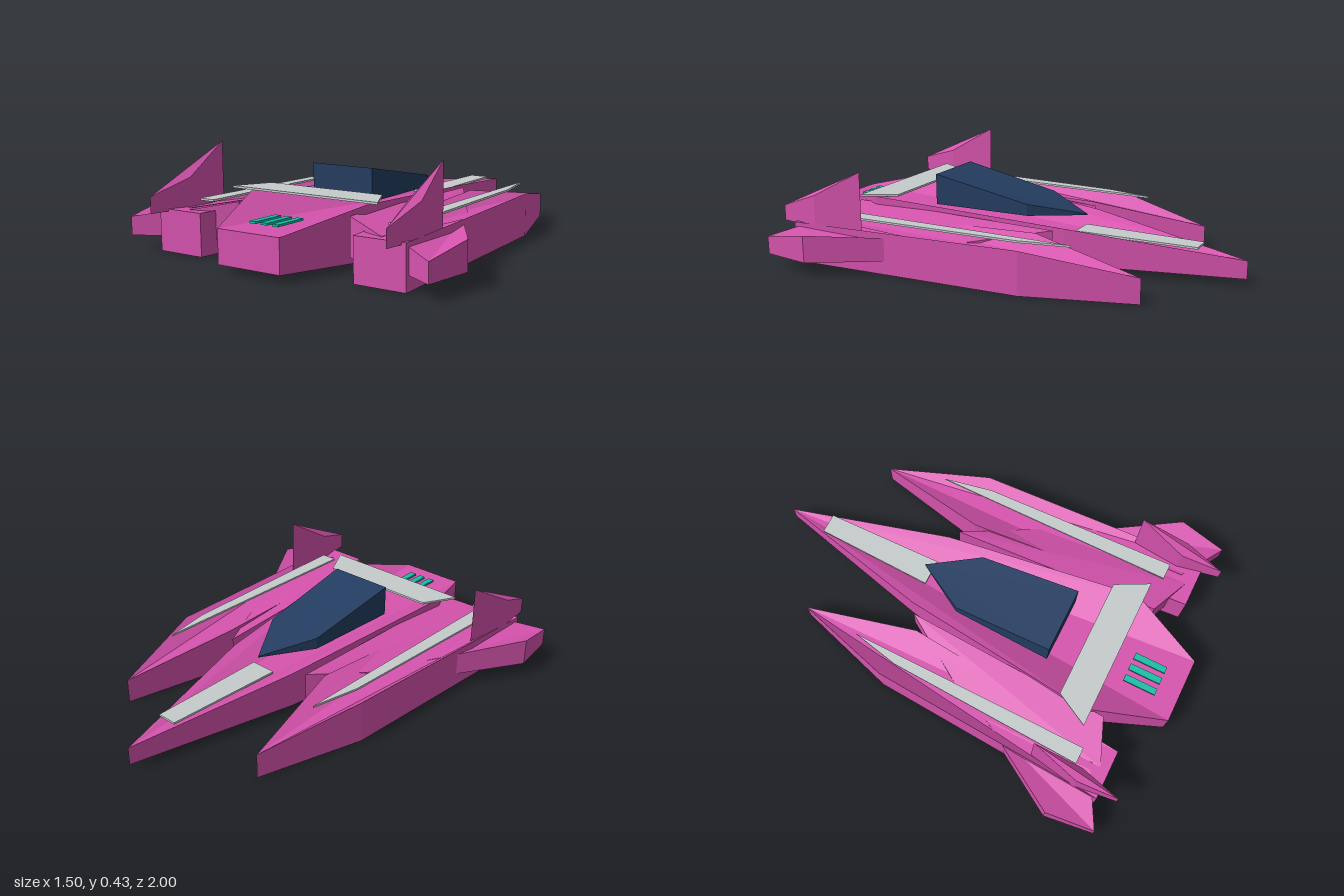
import * as THREE from 'three';

const material = (name, color) => {
  const m = new THREE.MeshStandardMaterial({ color });
  m.name = name;
  return m;
};

// Faceted slab: outline points are [x, z, topY]; the top fans out from the first point,
// the bottom is flat. Group 0 = top and walls, group 1 = underside.
function slabGeometry(points, bottom) {
  const area = points.reduce((sum, p, i) => {
    const q = points[(i + 1) % points.length];
    return sum + p[1] * q[0] - p[0] * q[1];
  }, 0);
  const ring = area > 0 ? points : [points[0], ...points.slice(1).reverse()];
  const top = ring.map(([x, z, y]) => [x, y, z]);
  const base = ring.map(([x, z]) => [x, bottom, z]);
  const n = ring.length;
  const verts = [];
  const tri = (a, b, c) => verts.push(...a, ...b, ...c);

  for (let i = 1; i < n - 1; i++) tri(top[0], top[i], top[i + 1]);
  for (let i = 0; i < n; i++) {
    const j = (i + 1) % n;
    tri(base[i], base[j], top[j]);
    tri(base[i], top[j], top[i]);
  }
  const split = verts.length / 3;
  for (let i = 1; i < n - 1; i++) tri(base[0], base[i + 1], base[i]);

  const geo = new THREE.BufferGeometry();
  geo.setAttribute('position', new THREE.Float32BufferAttribute(verts, 3));
  geo.addGroup(0, split, 0);
  geo.addGroup(split, verts.length / 3 - split, 1);
  geo.computeVertexNormals();
  return geo;
}

export function createModel() {
  const pink = material('pink hull', 0xd653ae);
  const navy = material('navy', 0x243d61);
  const grey = material('light grey trim', 0xc6cccc);
  const teal = material('teal vents', 0x14bfa6);

  const model = new THREE.Group();
  model.name = 'spacecraft';

  const slab = (name, points, bottom, upper, under = upper) => {
    const mesh = new THREE.Mesh(slabGeometry(points, bottom), [upper, under]);
    mesh.name = name;
    model.add(mesh);
  };
  const flat = (points, y) => points.map(([x, z]) => [x, z, y]);
  // Full outline from a nose point and the points down one side
  const symmetric = (nose, side) =>
    [nose, ...side, ...side.map(([x, z, y]) => [-x, z, y]).reverse()];

  // Central hull and canopy
  slab('mainHull', symmetric([0, -1, 0.11],
    [[0.18, -0.25, 0.19], [0.29, 0.65, 0.25], [0.15, 1, 0.17]]), 0.03, pink, navy);
  slab('canopy', symmetric([0, -0.28, 0.215],
    [[0.135, -0.05, 0.262], [0.15, 0.41, 0.35]]), 0.21, navy);

  // Trim plates on the nose and across the stern
  slab('nosePlate', flat([[-0.045, -0.8], [0.045, -0.8], [0.06, -0.25], [-0.06, -0.25]], 0.15),
    0.141, grey);
  slab('sternPlate', flat([[-0.28, 0.53], [0.28, 0.53], [0.36, 0.68], [-0.36, 0.68]], 0.27),
    0.261, grey);

  // Stern vents
  for (const x of [-0.063, -0.008, 0.047]) {
    const vent = new THREE.Mesh(new THREE.BoxGeometry(0.03, 0.009, 0.15), teal);
    vent.name = 'vent';
    vent.position.set(x, 0.185, 0.825);
    model.add(vent);
  }

  // Mirrored side parts
  for (const [side, s] of [['left', 1], ['right', -1]]) {
    const part = (name, points, ...rest) =>
      slab(side + name, points.map(([x, z, y]) => [x * s, z, y]), ...rest);

    part('Pod', [[0.4, -0.69, 0.11], [0.54, -0.22, 0.19], [0.6, 0.86, 0.18],
      [0.375, 0.86, 0.18], [0.29, -0.17, 0.19]], 0, pink, navy);
    part('PodPlate', flat([[0.43, -0.4], [0.475, -0.18], [0.51, 0.72], [0.435, 0.72]], 0.209),
      0.2, grey);
    // Bridge between hull and pod
    part('Bridge', [[0.225, -0.22, 0.19], [0.45, 0.14, 0.14], [0.47, 0.82, 0.18],
      [0.275, 0.74, 0.22]], 0.06, pink, navy);
    part('Winglet', [[0.5, 0.28, 0.155], [0.75, 0.69, 0.18], [0.72, 0.91, 0.14],
      [0.5, 0.785, 0.18]], 0.06, pink, navy);
    part('TailFin', [[0.555, 0.53, 0.43], [0.595, 0.75, 0.31], [0.57, 0.94, 0.24],
      [0.532, 0.75, 0.3]], 0.17, pink, navy);
  }
  return model;
}
